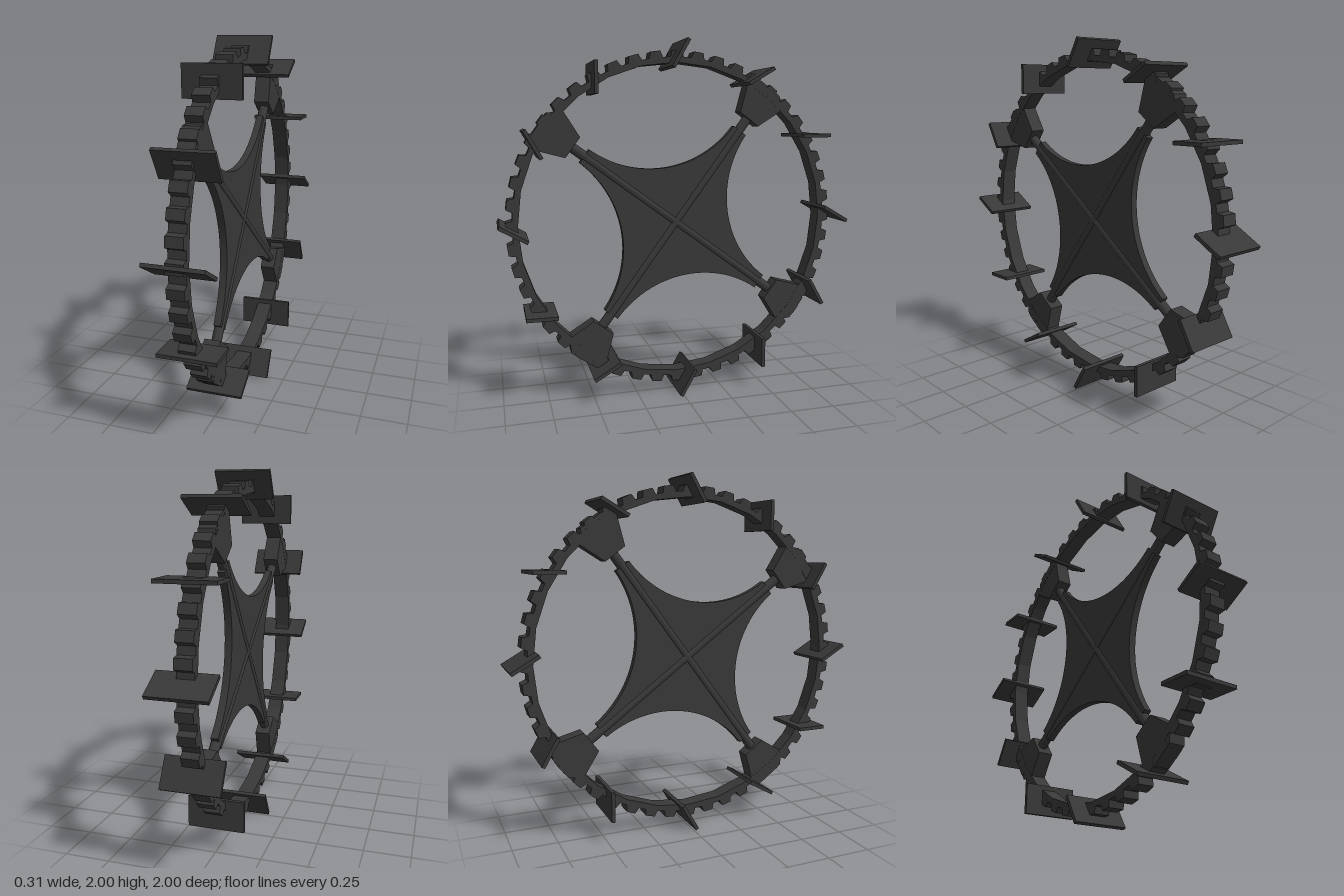
import * as THREE from 'three';

export function createModel() {
  const material = new THREE.MeshStandardMaterial({ color: 0x383838, flatShading: true });
  const model = new THREE.Group();
  model.name = 'paddleWheel';

  // The wheel is drawn in its own XY plane, then turned to face sideways.
  const wheel = new THREE.Group();
  wheel.name = 'wheel';
  wheel.rotation.y = Math.PI / 2;
  wheel.position.y = 1;
  model.add(wheel);

  const body = new THREE.Group();
  body.name = 'wheelBody';
  body.position.set(-0.014, 0, -0.008);
  wheel.add(body);

  const add = (parent, name, geometry) => {
    const mesh = new THREE.Mesh(geometry, material);
    mesh.name = name;
    parent.add(mesh);
    return mesh;
  };
  const plate = (shape, depth) =>
    new THREE.ExtrudeGeometry(shape, { depth, bevelEnabled: false, curveSegments: 20 }).translate(0, 0, -depth / 2);
  const polar = (r, a) => new THREE.Vector2(r * Math.cos(a), r * Math.sin(a));

  // Toothed rim with a faceted inner edge
  const teeth = 48, pitch = (Math.PI * 2) / teeth;
  const outline = [];
  for (let i = 0; i < teeth; i++) {
    const a = i * pitch;
    outline.push(
      polar(0.908, a - 0.32 * pitch), polar(0.943, a - 0.22 * pitch),
      polar(0.943, a + 0.22 * pitch), polar(0.908, a + 0.32 * pitch));
  }
  const rimShape = new THREE.Shape(outline);
  const inner = [];
  for (let i = 0; i < 28; i++) inner.push(polar(0.878, (-i * Math.PI * 2) / 28));
  rimShape.holes.push(new THREE.Path(inner));
  add(body, 'toothedRim', plate(rimShape, 0.092));

  // Hub: web, spokes and clamps, turned together
  const hub = new THREE.Group();
  hub.name = 'hub';
  hub.position.y = -0.008;
  hub.rotation.z = THREE.MathUtils.degToRad(53.5);
  body.add(hub);

  // Four-pointed web with concave arcs between the spokes
  const web = new THREE.Shape();
  const tilt = 0.021, centre = 0.653 * Math.SQRT2;
  for (let k = 0; k < 4; k++) {
    const turn = (k * Math.PI) / 2;
    const c = polar(centre, turn + Math.PI / 4);
    web.absarc(c.x, c.y, 0.608, turn - Math.PI / 2 - tilt, turn - Math.PI + tilt, true);
  }
  web.closePath();
  add(hub, 'web', plate(web, 0.04));

  const clamp = new THREE.Shape([
    [0.72, -0.068], [0.872, -0.128], [0.935, -0.07],
    [0.935, 0.07], [0.872, 0.128], [0.72, 0.068],
  ].map(([x, y]) => new THREE.Vector2(x, y)));
  const clampGeometry = plate(clamp, 0.09);
  const spokeGeometry = new THREE.CylinderGeometry(0.028, 0.028, 0.76, 12)
    .rotateZ(-Math.PI / 2).translate(0.38, 0, 0);
  for (let k = 0; k < 4; k++) {
    const arm = new THREE.Group();
    arm.name = 'arm';
    arm.rotation.z = (k * Math.PI) / 2;
    hub.add(arm);
    add(arm, 'spoke', spokeGeometry);
    add(arm, 'clamp', clampGeometry);
  }

  // Twelve slanted paddles crossing the rim
  const paddleGeometry = new THREE.BoxGeometry(0.17, 0.02, 0.31);
  for (let k = 0; k < 12; k++) {
    const a = THREE.MathUtils.degToRad(1.35 + 30 * k);
    const paddle = add(wheel, 'paddle', paddleGeometry);
    paddle.position.set(0.92 * Math.cos(a), 0.92 * Math.sin(a), 0);
    paddle.rotation.z = THREE.MathUtils.degToRad(30 * k - 30);
  }
  return model;
}
